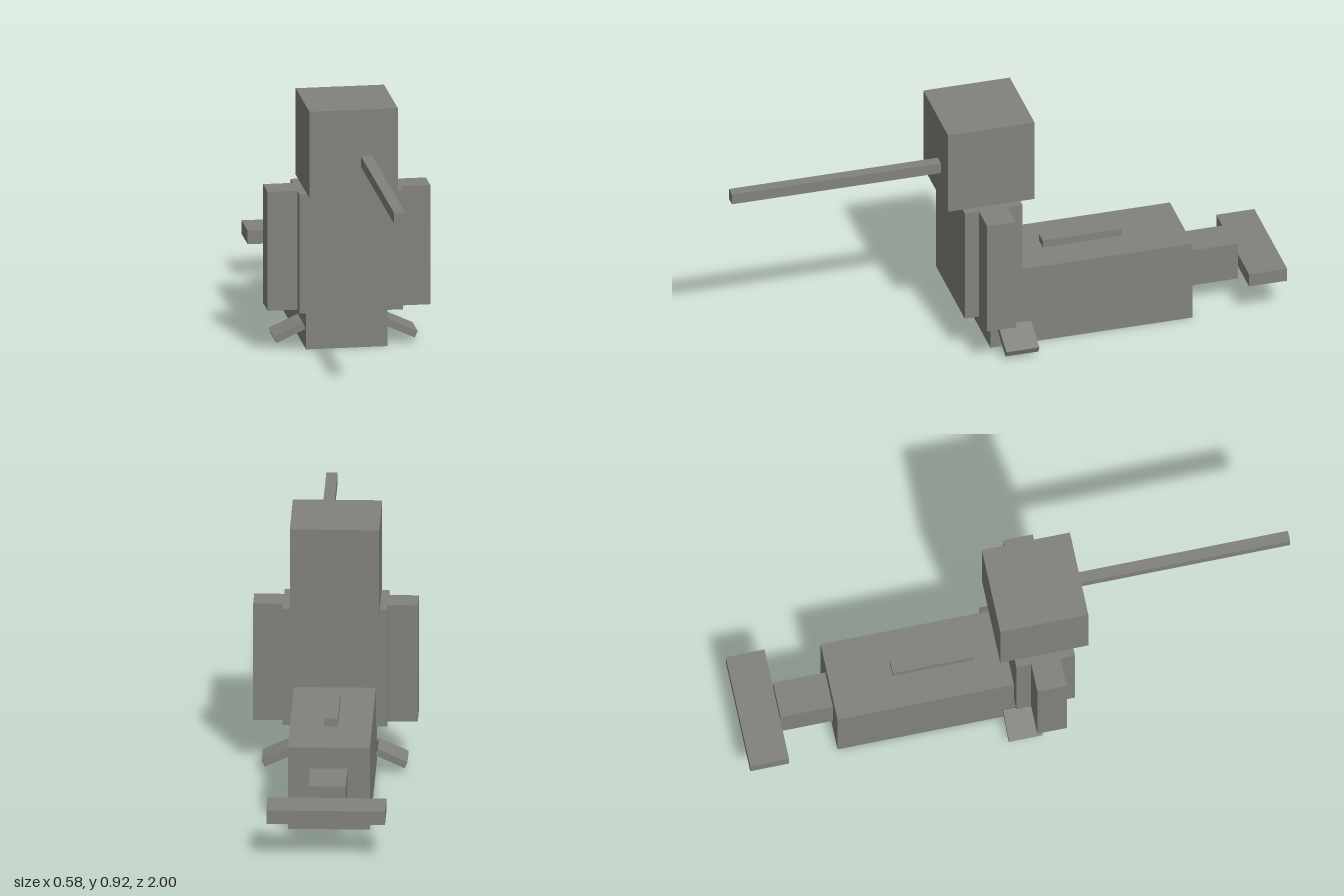
import * as THREE from 'three';

export function createModel() {
  const model = new THREE.Group();
  model.name = 'blockMerman';
  const grey = new THREE.MeshStandardMaterial({ name: 'warm grey', color: 0x83837d });

  // Box given by its extents along each axis
  function block(name, [x0, x1], [y0, y1], [z0, z1]) {
    const mesh = new THREE.Mesh(new THREE.BoxGeometry(x1 - x0, y1 - y0, z1 - z0), grey);
    mesh.position.set((x0 + x1) / 2, (y0 + y1) / 2, (z0 + z1) / 2);
    mesh.name = name;
    model.add(mesh);
    return mesh;
  }

  // Head with its long, off-centre nose
  block('head', [-0.158, 0.158], [0.598, 0.915], [-0.086, 0.232]);
  block('nose', [0.026, 0.066], [0.705, 0.745], [0.232, 1]);

  // Upright torso
  block('torso', [-0.185, 0.185], [0.162, 0.598], [-0.034, 0.178]);

  // Lying fish body, back fin and tail
  block('lowerBody', [-0.145, 0.145], [0, 0.306], [-0.671, 0.072]);
  block('backFin', [-0.024, 0.024], [0.306, 0.335], [-0.446, -0.155]);
  block('tailStem', [-0.066, 0.066], [0.083, 0.228], [-0.86, -0.671]);
  block('tailFluke', [-0.21, 0.21], [0.135, 0.185], [-1, -0.86]);

  // Arms and drooping side fins, mirrored
  for (const [side, s] of [['left', 1], ['right', -1]]) {
    const arm = block(side + 'Arm', [0.185, 0.291], [0.162, 0.598], [0.02, 0.126]);
    arm.position.x *= s;
    const fin = block(side + 'SideFin', [0.142, 0.258], [0.043, 0.069], [-0.075, 0.046]);
    fin.position.x *= s;
    fin.rotation.z = -s * 0.436;
  }
  return model;
}
